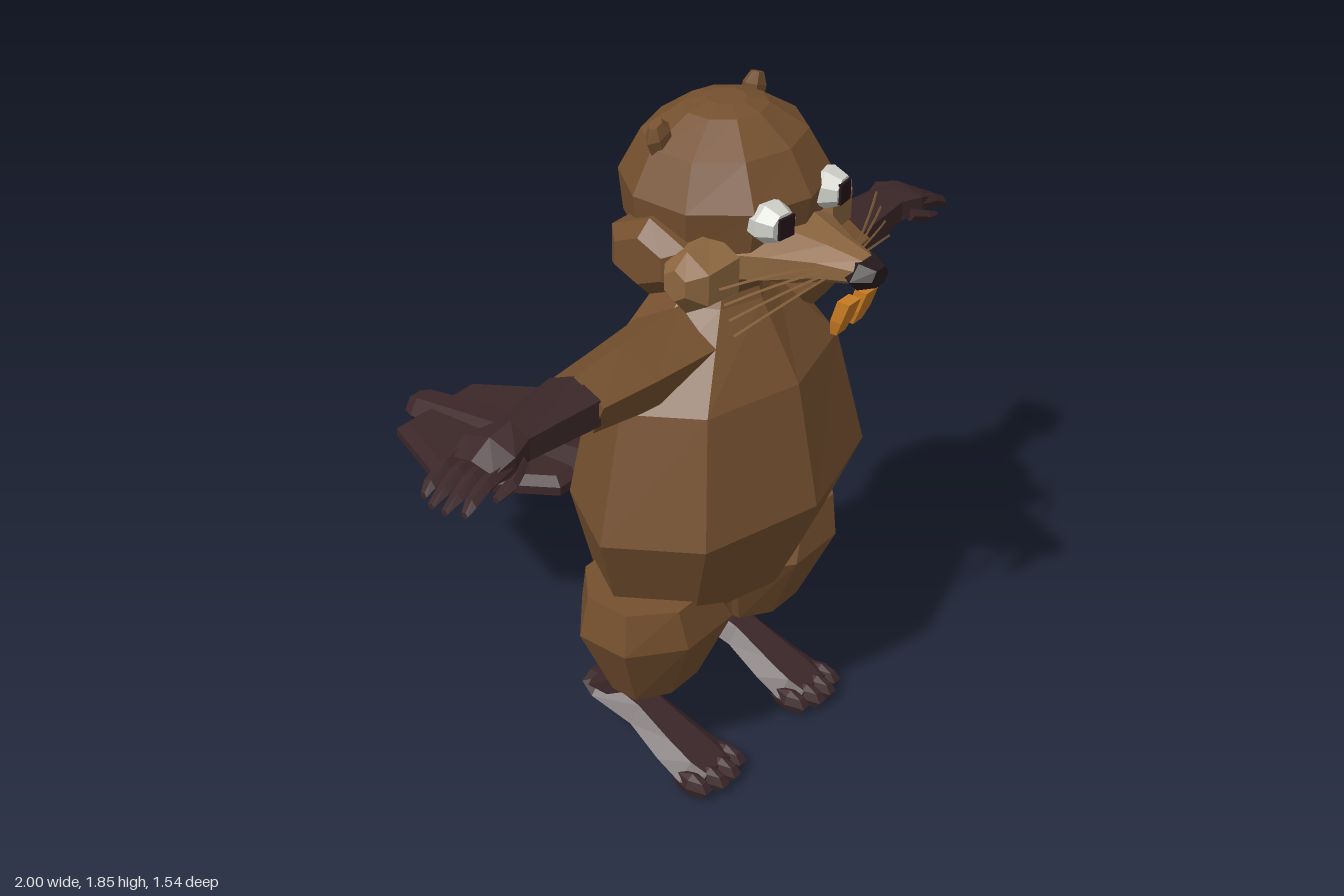
import * as THREE from 'three';

const mat = (name, color, extra = {}) => {
  const m = new THREE.MeshStandardMaterial({ color, flatShading: true, ...extra });
  m.name = name;
  return m;
};

export function createModel() {
  const model = new THREE.Group();
  model.name = 'beaver';
  const fur = mat('brown fur', 0x75502f);
  const skin = mat('dark skin', 0x3c2729);
  const muzzleFur = mat('light muzzle fur', 0x8c663f);
  const noseMat = mat('nose black', 0x261a1b);
  const toothMat = mat('tooth orange', 0xc67a22);
  const eyeMat = mat('eye white', 0xcfd0c8);
  const pupilMat = mat('pupil', 0x24151a);

  const add = (name, geometry, material) => {
    const mesh = new THREE.Mesh(geometry, material);
    mesh.name = name;
    model.add(mesh);
    return mesh;
  };

  // Faceted skin over elliptical rings [x, y, z, ru, rv] lying across one axis
  const PLANES = { x: [2, 1, -1], y: [0, 2, -1], z: [0, 1, 1] };
  const loft = (rings, axis, n, phase = 0) => {
    const [u, v, hand] = PLANES[axis];
    const k = 'xyz'.indexOf(axis);
    const forward = (rings[rings.length - 1][k] - rings[0][k]) * hand > 0;
    const pos = [];
    const at = (r, i) => {
      const p = [r[0], r[1], r[2]];
      const a = phase + (i * Math.PI * 2) / n;
      p[u] += Math.cos(a) * r[3];
      p[v] += Math.sin(a) * r[4];
      return p;
    };
    const tri = (a, b, c) => pos.push(...a, ...(forward ? b : c), ...(forward ? c : b));
    for (let i = 0; i < n; i++) {
      for (let j = 0; j < rings.length - 1; j++) {
        const a = at(rings[j], i), b = at(rings[j], i + 1);
        const c = at(rings[j + 1], i), d = at(rings[j + 1], i + 1);
        tri(a, b, c);
        tri(b, d, c);
      }
      const first = rings[0], last = rings[rings.length - 1];
      tri(first.slice(0, 3), at(first, i + 1), at(first, i));
      tri(last.slice(0, 3), at(last, i), at(last, i + 1));
    }
    const g = new THREE.BufferGeometry();
    g.setAttribute('position', new THREE.Float32BufferAttribute(pos, 3));
    g.computeVertexNormals();
    return g;
  };

  const blob = (x, y, z, rx, ry, rz, w = 6, h = 4) =>
    new THREE.SphereGeometry(1, w, h).scale(rx, ry, rz).translate(x, y, z);

  // Torso and head
  add('torso', loft([
    [0, 0.5, 0.29, 0.2, 0.15], [0, 0.54, 0.285, 0.36, 0.23], [0, 0.83, 0.325, 0.48, 0.307],
    [0, 1.16, 0.31, 0.385, 0.25], [0, 1.36, 0.3, 0.16, 0.14], [0, 1.42, 0.3, 0.12, 0.12],
  ], 'y', 8), fur);
  add('head', loft([
    [0, 1.39, 0.31, 0.13, 0.12], [0, 1.44, 0.31, 0.16, 0.15], [0, 1.56, 0.315, 0.25, 0.235],
    [0, 1.67, 0.32, 0.27, 0.25], [0, 1.775, 0.315, 0.215, 0.19], [0, 1.84, 0.315, 0.11, 0.1],
    [0, 1.855, 0.315, 0.05, 0.05],
  ], 'y', 10, Math.PI / 10), fur);

  // Muzzle and nose
  add('muzzle', loft([
    [0, 1.525, 0.42, 0.22, 0.085], [0, 1.53, 0.54, 0.15, 0.078],
    [0, 1.535, 0.64, 0.085, 0.052], [0, 1.535, 0.73, 0.05, 0.034],
  ], 'z', 8, Math.PI / 8), muzzleFur);
  add('nose', loft([
    [0, 1.53, 0.7, 0.05, 0.034], [0, 1.53, 0.73, 0.068, 0.04], [0, 1.53, 0.77, 0.035, 0.025],
  ], 'z', 6), noseMat);

  // Tail: tapering core with a flat hexagonal paddle that follows its slope
  add('tailCore', loft([
    [0, 0.66, 0.1, 0.105, 0.09], [0, 0.657, 0.0, 0.1, 0.09],
    [0, 0.58, -0.74, 0.06, 0.052], [0, 0.578, -0.775, 0.045, 0.04],
  ], 'z', 6, 0), skin);
  const outline = [[-0.155, 0.085], [0.155, 0.085], [0.305, 0.39], [0.155, 0.7], [-0.155, 0.7], [-0.305, 0.39]];
  const paddle = new THREE.ExtrudeGeometry(new THREE.Shape(outline.map(p => new THREE.Vector2(...p))), {
    depth: 0.025, bevelThickness: 0.02, bevelSize: 0.03, bevelOffset: -0.03, bevelSegments: 1,
  });
  paddle.rotateX(-Math.PI / 2).translate(0, -0.012, 0);
  const pp = paddle.attributes.position;
  for (let i = 0; i < pp.count; i++) pp.setY(i, pp.getY(i) + 0.653 + 0.097 * pp.getZ(i));
  paddle.computeVertexNormals();
  add('tailPaddle', paddle, skin);

  for (const [s, side] of [[1, 'left'], [-1, 'right']]) {
    const part = (name, geometry, material) => add(side + name, geometry, material);

    // Cheeks and ears
    part('Cheek', loft([
      [s * 0.15, 1.535, 0.3, 0.13, 0.1], [s * 0.265, 1.535, 0.3, 0.13, 0.1], [s * 0.31, 1.54, 0.3, 0.08, 0.06],
    ], 'x', 6, Math.PI / 6), fur);
    part('CheekTuft', loft([
      [s * 0.19, 1.525, 0.42, 0.1, 0.09], [s * 0.29, 1.52, 0.43, 0.075, 0.08], [s * 0.335, 1.53, 0.43, 0.035, 0.04],
    ], 'x', 6, Math.PI / 6), muzzleFur);
    const ear = part('Ear', loft([
      [0, -0.05, 0, 0.035, 0.025], [0, 0.01, 0, 0.042, 0.025], [0, 0.04, 0, 0.022, 0.014],
    ], 'y', 6), fur);
    ear.position.set(s * 0.185, 1.8, 0.262);
    ear.rotation.z = -s * 0.35;

    // Eye with a thin pupil plate
    const eye = new THREE.Group();
    eye.name = side + 'Eye';
    eye.position.set(s * 0.118, 1.645, 0.545);
    eye.rotation.y = s * 0.12;
    const ball = new THREE.Mesh(loft([
      [0, 0, -0.05, 0.05, 0.042], [0, 0, -0.005, 0.06, 0.052], [0, 0, 0.035, 0.04, 0.036],
    ], 'z', 8, Math.PI / 8), eyeMat);
    ball.name = 'eyeball';
    const pupil = new THREE.Mesh(new THREE.BoxGeometry(0.05, 0.053, 0.009), pupilMat);
    pupil.name = 'pupil';
    pupil.position.set(-s * 0.004, 0, 0.037);
    eye.add(ball, pupil);
    model.add(eye);

    // Front tooth, leaning back towards its tip
    part('Tooth', loft([
      [s * 0.035, 1.37, 0.685, 0.026, 0.012], [s * 0.036, 1.41, 0.695, 0.036, 0.022],
      [s * 0.036, 1.465, 0.712, 0.034, 0.024],
    ], 'y', 4, Math.PI / 4), toothMat);

    // Whiskers
    for (let i = 0; i < 4; i++) {
      const curve = new THREE.QuadraticBezierCurve3(
        new THREE.Vector3(s * 0.06, 1.515 + i * 0.01, 0.66),
        new THREE.Vector3(s * 0.19, 1.505 + i * 0.022, 0.645 - i * 0.01),
        new THREE.Vector3(s * 0.32, 1.45 + i * 0.035, 0.59 - i * 0.015));
      part('Whisker' + (i + 1), new THREE.TubeGeometry(curve, 4, 0.0035, 3), muzzleFur);
    }

    // Arm, forearm and hand
    part('UpperArm', loft([
      [s * 0.15, 1.255, 0.31, 0.13, 0.105], [s * 0.38, 1.26, 0.31, 0.11, 0.09], [s * 0.545, 1.265, 0.305, 0.093, 0.073],
    ], 'x', 5, Math.PI / 2), fur);
    part('Forearm', loft([
      [s * 0.54, 1.267, 0.302, 0.09, 0.07], [s * 0.76, 1.268, 0.302, 0.062, 0.058],
      [s * 0.83, 1.268, 0.3, 0.088, 0.046], [s * 0.89, 1.255, 0.298, 0.078, 0.025],
    ], 'x', 6, Math.PI / 6), skin);
    for (let i = 0; i < 4; i++) {
      const z = 0.235 + i * 0.041;
      const reach = i === 0 || i === 3 ? 0.98 : 1;
      part('Finger' + (i + 1), loft([
        [s * 0.84, 1.266, z, 0.019, 0.02], [s * 0.91, 1.25, z, 0.019, 0.02],
        [s * 0.96, 1.225, z, 0.018, 0.018], [s * reach, 1.208, z, 0.01, 0.009],
      ], 'x', 5), skin);
    }
    part('Thumb', loft([
      [s * 0.79, 1.25, 0.36, 0.02, 0.02], [s * 0.85, 1.23, 0.38, 0.018, 0.017], [s * 0.9, 1.215, 0.378, 0.01, 0.009],
    ], 'x', 5), skin);

    // Leg: thigh, backward-leaning shin, long foot and toes
    part('Thigh', loft([
      [s * 0.225, 0.285, 0.305, 0.148, 0.1], [s * 0.235, 0.5, 0.31, 0.24, 0.19], [s * 0.27, 0.615, 0.31, 0.18, 0.165],
    ], 'y', 8, Math.PI / 8), fur);
    part('Shin', loft([
      [s * 0.215, 0.31, 0.3, 0.105, 0.09], [s * 0.215, 0.27, 0.28, 0.1, 0.08],
      [s * 0.22, 0.19, 0.165, 0.095, 0.065], [s * 0.22, 0.165, 0.14, 0.07, 0.035],
    ], 'y', 6, Math.PI / 6), skin);
    part('Foot', loft([
      [s * 0.22, 0.178, 0.1, 0.07, 0.022], [s * 0.22, 0.165, 0.15, 0.09, 0.045],
      [s * 0.22, 0.12, 0.27, 0.072, 0.045], [s * 0.222, 0.07, 0.38, 0.09, 0.046],
      [s * 0.222, 0.042, 0.46, 0.1, 0.04], [s * 0.222, 0.035, 0.51, 0.085, 0.025],
    ], 'z', 6), skin);
    for (let i = 0; i < 4; i++) {
      const mid = i === 1 || i === 2;
      part('Toe' + (i + 1), blob(s * (0.147 + i * 0.05), 0.034, mid ? 0.505 : 0.485, 0.028, 0.033, 0.065), skin);
    }
  }
  return model;
}
